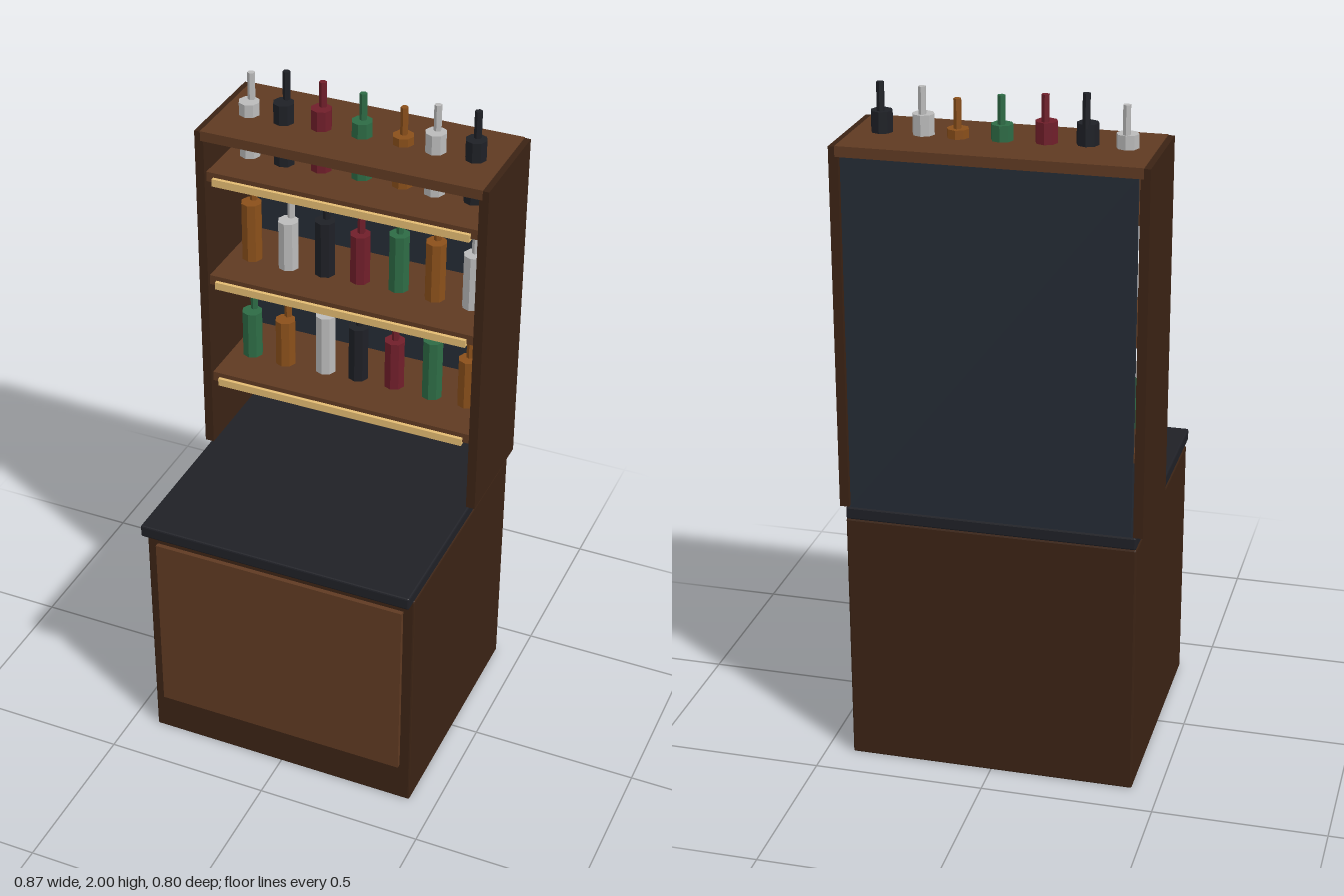
import * as THREE from 'three';
import { RoundedBoxGeometry } from 'three/addons/geometries/RoundedBoxGeometry.js';

const mat = (color) => new THREE.MeshStandardMaterial({ color, flatShading: true });

export function createModel() {
  const model = new THREE.Group();
  const darkWood = mat(0x3b2314), wood = mat(0x5f3a22), stone = mat(0x1f2026);
  const backing = mat(0x242b35), brass = mat(0xe3bb72);
  const glass = {
    w: mat(0xbababa), k: mat(0x1e2026), r: mat(0x701e2a), g: mat(0x2d6b45), o: mat(0x8a4f1a),
  };

  // Box given by its minimum and maximum on each axis
  function box(name, material, [x0, x1], [y0, y1], [z0, z1], bevel = 0) {
    const w = x1 - x0, h = y1 - y0, d = z1 - z0;
    const geometry = bevel ? new RoundedBoxGeometry(w, h, d, 1, bevel) : new THREE.BoxGeometry(w, h, d);
    const mesh = new THREE.Mesh(geometry, material);
    mesh.name = name;
    mesh.position.set((x0 + x1) / 2, (y0 + y1) / 2, (z0 + z1) / 2);
    model.add(mesh);
  }

  // Lower cabinet, front panel and counter
  box('cabinet', darkWood, [-0.42, 0.42], [0, 0.762], [-0.395, 0.357], 0.005);
  box('frontPanel', wood, [-0.387, 0.387], [0.13, 0.717], [0.345, 0.371]);
  box('countertop', stone, [-0.419, 0.419], [0.762, 0.8], [-0.397, 0.398], 0.005);

  // Upper shelf case
  box('leftSide', darkWood, [0.41, 0.437], [0.8, 1.853], [-0.395, -0.066]);
  box('rightSide', darkWood, [-0.437, -0.41], [0.8, 1.853], [-0.395, -0.066]);
  box('topBoard', wood, [-0.419, 0.419], [1.825, 1.855], [-0.396, -0.065]);
  box('backPanel', backing, [-0.405, 0.405], [0.8, 1.826], [-0.395, -0.38]);

  // Bottle: octagonal body and a thin neck set slightly back
  function bottle(x, z, base, shoulder, top, material) {
    const group = new THREE.Group();
    group.name = 'bottle';
    const body = new THREE.Mesh(new THREE.CylinderGeometry(0.031, 0.031, shoulder - base, 8), material);
    body.name = 'bottleBody';
    body.position.set(x, (base + shoulder) / 2, z);
    const neck = new THREE.Mesh(new THREE.CylinderGeometry(0.011, 0.011, top - shoulder + 0.01, 6), material);
    neck.name = 'bottleNeck';
    neck.position.set(x, (shoulder + top - 0.01) / 2, -0.234);
    group.add(body, neck);
    model.add(group);
  }

  // Each shelf: height, bottle colours, positions, shoulder heights and tops
  const bodyZ = [-0.218, -0.213, -0.222, -0.227, -0.23, -0.224, -0.225];
  const rows = [
    { y: 1.05, colors: 'gowkrgo',
      x: [-0.344, -0.233, -0.106, -0.003, 0.111, 0.233, 0.344],
      shoulder: [1.2, 1.2, 1.243, 1.227, 1.206, 1.243, 1.206],
      top: [1.283, 1.28, 1.323, 1.307, 1.286, 1.32, 1.286] },
    { y: 1.386, colors: 'owkrgow',
      x: [-0.339, -0.22, -0.108, 0, 0.119, 0.233, 0.347],
      shoulder: [1.571, 1.54, 1.561, 1.54, 1.566, 1.571, 1.556],
      top: [1.656, 1.619, 1.645, 1.622, 1.645, 1.645, 1.645] },
    { y: 1.725, colors: 'wkrgowk',
      x: [-0.339, -0.23, -0.119, 0.002, 0.124, 0.222, 0.339],
      shoulder: [1.894, 1.915, 1.915, 1.9, 1.88, 1.913, 1.915],
      top: [1.976, 2, 1.99, 1.98, 1.963, 1.99, 1.995] },
  ];
  for (const row of rows) {
    box('shelf', wood, [-0.408, 0.408], [row.y - 0.03, row.y], [-0.385, -0.075]);
    box('shelfLightStrip', brass, [-0.387, 0.387], [row.y - 0.037, row.y - 0.014], [-0.085, -0.064]);
    row.x.forEach((x, i) =>
      bottle(x, bodyZ[i], row.y, row.shoulder[i], row.top[i], glass[row.colors[i]]));
  }
  return model;
}
